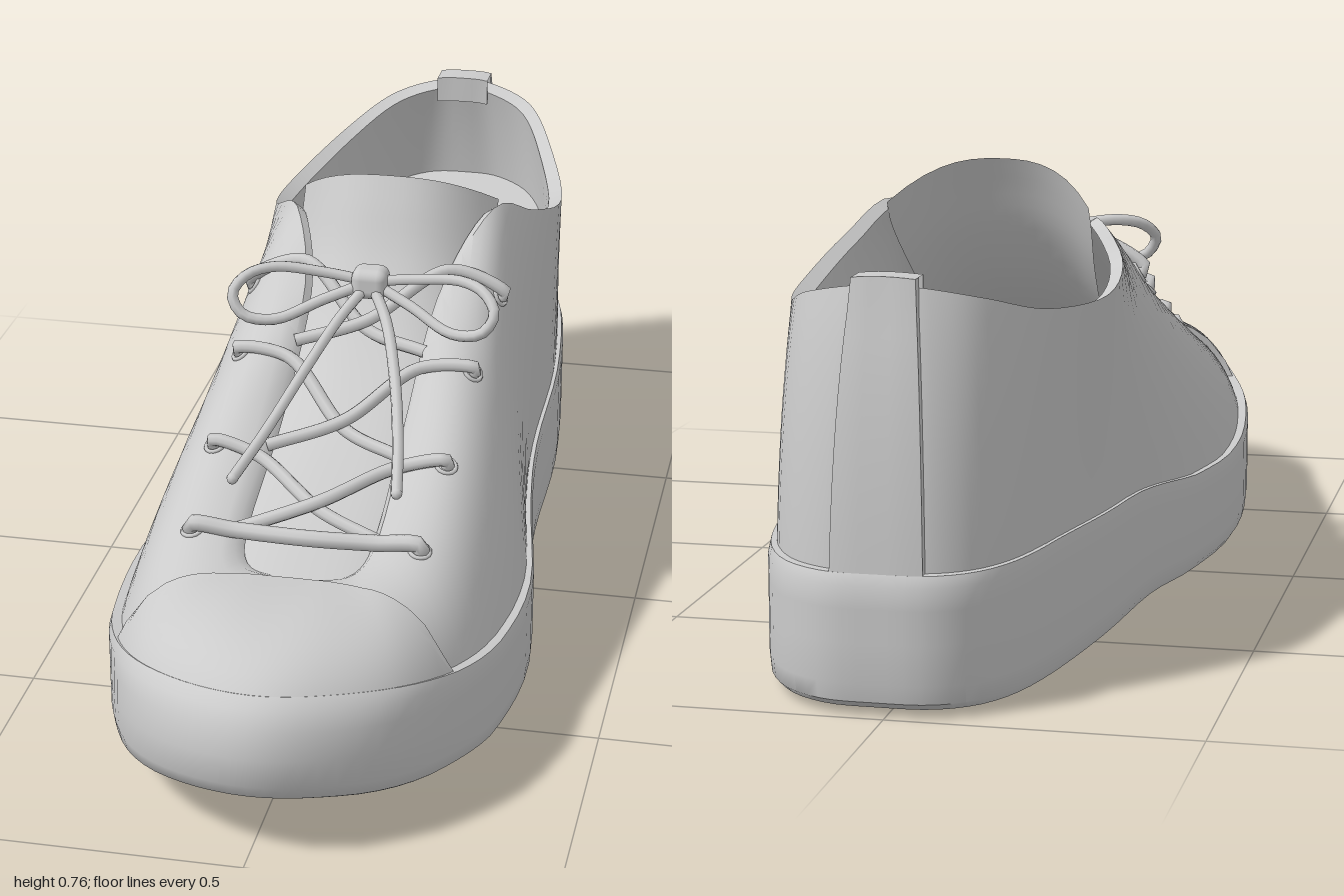
import * as THREE from 'three';
import { mergeVertices, toCreasedNormals } from 'three/addons/utils/BufferGeometryUtils.js';
import { RoundedBoxGeometry } from 'three/addons/geometries/RoundedBoxGeometry.js';

const V = (x, y, z) => new THREE.Vector3(x, y, z);
const grey = new THREE.MeshStandardMaterial({ color: 0xcccccc });
const greyThin = new THREE.MeshStandardMaterial({ color: 0xcccccc, side: THREE.DoubleSide });

// Stations from heel to toe: [z, left x, right x]
const outline = [
  [-0.995, 0.02, 0.02], [-0.985, 0.11, -0.08], [-0.92, 0.19, -0.155], [-0.78, 0.245, -0.205],
  [-0.5, 0.28, -0.25], [-0.2, 0.285, -0.28], [0, 0.305, -0.325], [0.3, 0.351, -0.355],
  [0.55, 0.338, -0.335], [0.72, 0.295, -0.29], [0.87, 0.222, -0.217], [0.965, 0.113, -0.113], [1, 0.005, 0.005],
];
// Matching collar and throat edge: [z, left x, right x, y, bulge height, bulge lean]
const rimRows = [
  [-0.905, 0.02, 0.02, 0.66, 0.6, 0.2], [-0.9, 0.08, -0.05, 0.655, 0.6, 0.2], [-0.85, 0.16, -0.13, 0.635, 0.6, 0.2],
  [-0.72, 0.22, -0.2, 0.6, 0.6, 0.2], [-0.48, 0.278, -0.249, 0.585, 0.6, 0.2], [-0.28, 0.255, -0.235, 0.64, 0.65, 0.22],
  [-0.15, 0.2, -0.165, 0.69, 0.75, 0.28], [0.01, 0.135, -0.115, 0.58, 0.82, 0.33], [0.25, 0.12, -0.115, 0.44, 0.95, 0.3],
  [0.5, 0.12, -0.12, 0.352, 1, 0.25], [0.6, 0.1, -0.1, 0.328, 1.2, 0.22], [0.63, 0.04, -0.04, 0.325, 1.5, 0.22],
  [0.63, 0, 0, 0.325, 1.55, 0.22],
];
const table = (rows) => (z) => {
  if (z <= rows[0][0]) return rows[0][1];
  for (let i = 1; i < rows.length; i++) {
    const [a, p] = rows[i - 1], [b, q] = rows[i];
    if (z <= b) return p + (q - p) * (z - a) / (b - a);
  }
  return rows[rows.length - 1][1];
};
const soleBottom = table([[-1, 0.01], [0, 0.005], [0.2, 0], [0.4, 0.01], [0.6, 0.03], [0.8, 0.065], [0.92, 0.09], [1, 0.112]]);
const soleTop = table([[-1, 0.225], [-0.7, 0.228], [-0.3, 0.21], [0, 0.18], [0.2, 0.17], [0.4, 0.18], [0.55, 0.195], [0.72, 0.225], [0.87, 0.26], [1, 0.288]]);
const bedHeight = table([[-0.9, 0.39], [-0.2, 0.37], [0, 0.34], [0.3, 0.24], [0.6, 0.23], [1, 0.28]]);
const liningEnd = table([[-0.25, 0.52], [0.1, 0.15]]);

// Closed curve running heel, left side, toe, right side
const N = 24;
const ringCurve = (at) => {
  const pts = [];
  for (let i = 0; i < N; i++) pts.push(i <= 12 ? at(i, 1) : at(N - i, 2));
  const c = new THREE.CatmullRomCurve3(pts, true, 'catmullrom', 0.5);
  return (u) => c.getPoint(((u % 1) + 1) % 1);
};
const toePull = (z) => THREE.MathUtils.smoothstep(z, 0.6, 1);
const basePt = (i, s) => {
  const [z] = outline[i];
  return V(outline[i][s] * 0.965, soleTop(z) - 0.02, z * 0.975 - 0.025 * toePull(z));
};
const rimPt = (i, s) => V(rimRows[i][s], rimRows[i][3] - (s === 2 && i > 4 && i < 7 ? 0.025 : 0), rimRows[i][0]);
const ctrlPt = (i, s) => {
  const b = basePt(i, s), r = rimPt(i, s), c = b.clone().lerp(r, rimRows[i][5]);
  c.y = b.y + (r.y - b.y) * rimRows[i][4];
  return c;
};
const sole = ringCurve((i, s) => V(outline[i][s], 0, outline[i][0]));
const base = ringCurve(basePt), ctrl = ringCurve(ctrlPt), rim = ringCurve(rimPt);
const surf = (u, v) => base(u).multiplyScalar((1 - v) ** 2)
  .addScaledVector(ctrl(u), 2 * v * (1 - v)).addScaledVector(rim(u), v * v);
const normalAt = (u, v) => {
  const du = surf(u + 0.003, v).sub(surf(u - 0.003, v));
  return surf(u, v).sub(surf(u, v - 0.01)).cross(du).normalize();
};

// Surface from fn(i, j), facing dv x du
function grid(nu, nv, fn, crease = 0.7) {
  const pos = [], idx = [];
  for (let i = 0; i <= nu; i++) for (let j = 0; j <= nv; j++) pos.push(...fn(i, j).toArray());
  for (let i = 0; i < nu; i++) for (let j = 0; j < nv; j++) {
    const a = i * (nv + 1) + j, c = a + nv + 1;
    idx.push(a, a + 1, c, a + 1, c + 1, c);
  }
  const g = new THREE.BufferGeometry();
  g.setAttribute('position', new THREE.Float32BufferAttribute(pos, 3));
  g.setIndex(idx);
  return toCreasedNormals(mergeVertices(g, 1e-5), crease);
}

export function createModel() {
  const group = new THREE.Group();
  const add = (name, geo, mat = grey) => {
    const m = new THREE.Mesh(geo, mat);
    m.name = name;
    group.add(m);
    return m;
  };

  // Sole: rings of [scale, height fraction, toe pull-in]
  const rings = [[0, 0, 0], [0.35, 0, 0], [0.65, 0, 0], [0.85, 0, 0], [0.975, 0, 0.01], [0.994, 0.06, 0.012],
    [1, 0.2, 0.006], [1, 0.5, 0], [1, 0.75, 0.012], [1, 0.92, 0.028], [0.99, 1, 0.04], [0.9, 1, 0.03],
    [0.6, 1, 0], [0.3, 1, 0], [0, 1, 0]];
  add('sole', grid(96, rings.length - 1, (i, j) => {
    const [s, f, pull] = rings[j], p = sole(i / 96);
    const z = p.z * s - pull * toePull(p.z), ref = s > 0.95 ? p.z : z;
    const lo = soleBottom(ref), hi = soleTop(ref);
    return V(p.x * s, lo + (hi - lo) * f, z);
  }, 0.75));

  // Upper: outer skin, rolled edge, lining and bowl-shaped footbed
  const outer = 12, lining = 8, bed = 8;
  add('upper', grid(120, outer + lining + bed + 1, (i, j) => {
    const u = i / 120;
    if (j <= outer) return surf(u, j / outer);
    const k = j - outer - 1, end = liningEnd(rim(u).z);
    const p = surf(u, 1 - (1 - end) * Math.min(k / lining, 1));
    const q = V((p.x - 0.01) * 0.91 + 0.01, p.y - 0.012, p.z * 0.97 - 0.005);
    if (k > lining) {
      const s = 1 - (k - lining) / bed;
      q.x *= s;
      q.z *= s;
      q.y += (bedHeight(q.z) - q.y) * (1 - s ** 3);
    }
    return q;
  }), greyThin);

  // Toe cap laid over the front of the upper
  add('toeCap', grid(40, 11, (i, j) => {
    const u = (9.05 + 5.9 * i / 40) / N;
    let end = 0;
    for (let v = 0; v <= 1; v += 0.005) {
      const q = surf(u, v);
      if (q.z > 0.655 + 0.055 * (q.x / 0.26) ** 2) end = v;
    }
    const v = end * Math.min(j, 10) / 10;
    return surf(u, v).addScaledVector(normalAt(u, v), j === 11 ? -0.005 : 0.012);
  }), greyThin);

  // Heel strip, folded over the collar
  add('heelStrip', grid(8, 12, (i, j) => {
    const k = Math.min(Math.max(i - 1, 0), 6) / 6;
    const u = (k * 2 - 1) * 0.8 / N, edge = i === 0 || i === 8;
    const p = surf(u, Math.min(j / 10, 1));
    p.z -= edge ? -0.005 : 0.016;
    if (j >= 10) p.y += 0.015;
    if (j > 10) p.z += edge ? 0.025 : 0.05;
    if (j === 12) p.y -= 0.05;
    return p;
  }), greyThin);

  // Tongue: centre and edge lines swept across
  const tongueRows = [[0.64, 0.315, 0.13, 0.02, 0], [0.4, 0.365, 0.17, 0.04, 0], [0.2, 0.43, 0.165, 0.05, 0], [0.06, 0.52, 0.16, 0.06, 0.01],
    [-0.03, 0.625, 0.17, 0.06, 0.06], [-0.075, 0.71, 0.18, 0.06, 0.1], [-0.1, 0.758, 0.18, 0.07, 0.1]];
  const mid = new THREE.CatmullRomCurve3(tongueRows.map(([z, y]) => V(0.02, y, z)));
  const side = new THREE.CatmullRomCurve3(tongueRows.map(([z, y, w, drop, back]) => V(w, y - drop, z - back)));
  add('tongue', grid(14, 24, (i, j) => {
    const a = i / 7 - 1, bend = Math.abs(a) ** 2.6, m = mid.getPoint(j / 24), e = side.getPoint(j / 24);
    return V(m.x + e.x * a, m.y + (e.y - m.y) * bend, m.z + (e.z - m.z) * bend);
  }), greyThin);
  const tongueY = table(tongueRows.map(([z, y]) => [z, y]).reverse());

  // Laces: eyelets, cross-over straps, bow
  const lace = (name, pts, r = 0.012) =>
    add(name, new THREE.TubeGeometry(new THREE.CatmullRomCurve3(pts), 36, r, 8), greyThin);
  const find = (z, v, s) => {
    let best = 0, err = 9;
    for (let t = 6; t <= 11; t += 0.02) {
      const u = (s > 0 ? t : N - t) / N, d = Math.abs(surf(u, v).z - z);
      if (d < err) { err = d; best = u; }
    }
    return best;
  };
  const rowZ = [0.54, 0.35, 0.14, -0.04];
  const hole = (z, s) => {
    const v = 0.68, u = find(z, v, s), p = surf(u, v), n = normalAt(u, v);
    const at = (d) => p.clone().addScaledVector(n, d);
    return { start: at(-0.02), over: at(0.013), p, n };
  };
  const edge = (z, s, dy) => surf(find(z, 1, s), 1).add(V(0, dy, 0));
  rowZ.forEach((z, i) => {
    for (const s of [1, -1]) {
      const h = hole(z, s);
      const ring = add('eyelet', new THREE.TorusGeometry(0.017, 0.004, 6, 14));
      ring.position.copy(h.p);
      ring.lookAt(h.p.clone().add(h.n));
      if (i === 0) continue;
      const zc = (z + rowZ[i - 1]) / 2 + 0.02;
      lace('crossLace', [h.start, h.over, edge(z + 0.02, s, 0.016), V(0.01, tongueY(zc) + (s > 0 ? 0.033 : 0.016), zc),
        edge(rowZ[i - 1] - 0.03, -s, -0.005)]);
    }
  });
  const l = hole(0.54, -1), r = hole(0.54, 1);
  lace('frontLace', [l.start, l.over, edge(0.54, -1, 0.016), V(0.015, 0.358, 0.55), edge(0.54, 1, 0.016), r.over, r.start], 0.014);

  const knot = V(0.01, 0.607, 0.035);
  add('bowKnot', new RoundedBoxGeometry(0.065, 0.056, 0.055, 3, 0.018)).position.copy(knot);
  for (const s of [1, -1]) {
    const path = (...p) => [knot, ...p.map(([x, y, z]) => V(0.01 + s * x, y, z))];
    lace('bowLoop', [...path([0.08, 0.62, 0.04], [0.17, 0.632, 0.06], [0.215, 0.622, 0.085], [0.235, 0.595, 0.11],
      [0.215, 0.562, 0.12], [0.16, 0.552, 0.11], [0.08, 0.58, 0.07]), knot], 0.01);
    lace('laceTail', path([0.04, 0.565, 0.1], [0.08, 0.51, 0.22], [0.115, 0.46, 0.37], [0.14, 0.436, 0.51]), 0.01);
    const tip = add('laceTip', new THREE.SphereGeometry(0.01, 8, 6));
    tip.position.set(0.01 + s * 0.14, 0.436, 0.51);
  }
  return group;
}
